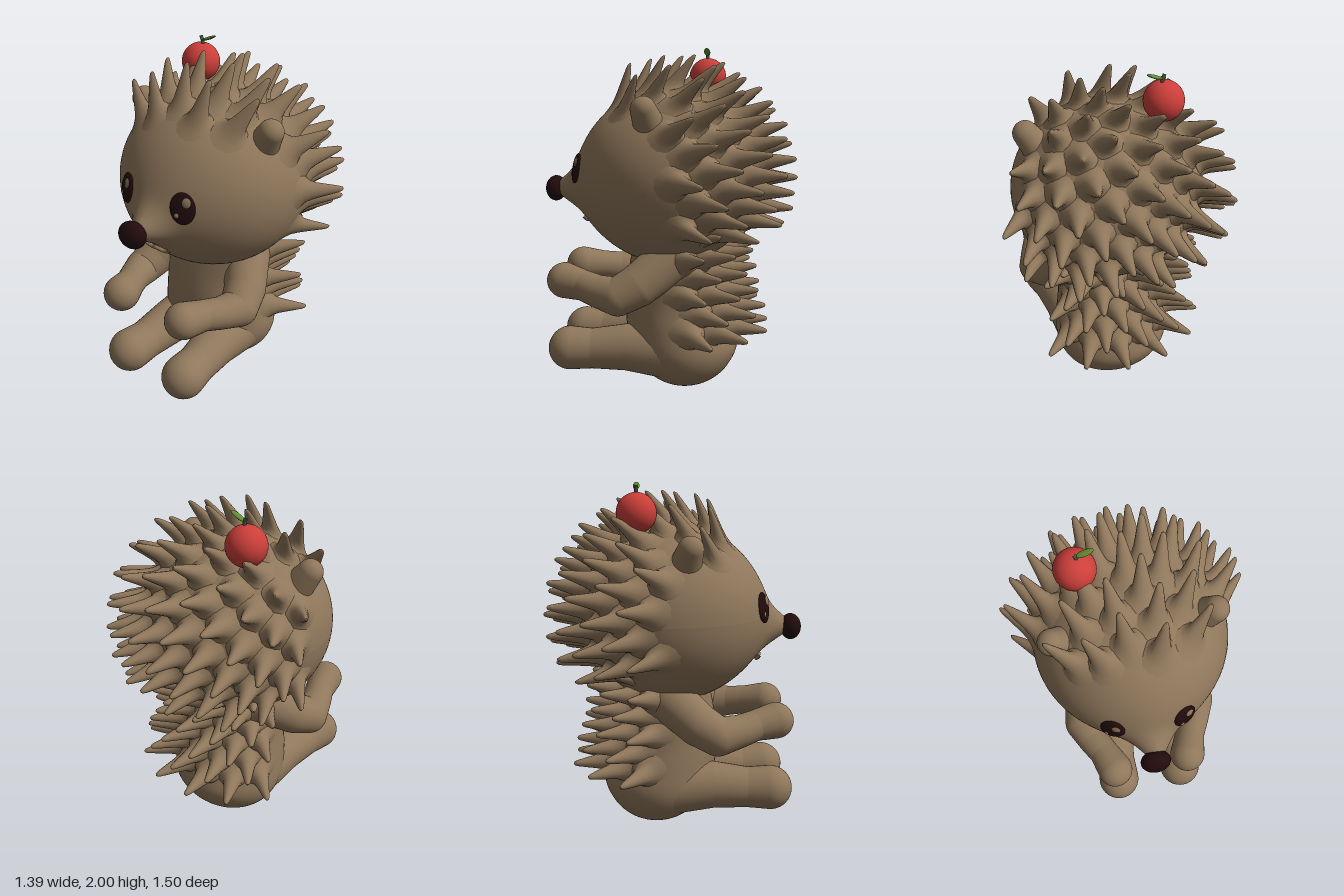
import * as THREE from 'three';

const V = (x, y, z) => new THREE.Vector3(x, y, z);
const UP = V(0, 1, 0);
const material = (name, color) => {
  const m = new THREE.MeshStandardMaterial({ color });
  m.name = name;
  return m;
};

// Head: centre, radii, and the deeper radius of its front half
const HC = V(0, 1.265, -0.02), HR = V(0.545, 0.515, 0.505), FRONT = 0.55;

// How far the snout pushes the face forward at a given x, y
function snoutPush(x, y) {
  const r2 = x * x + (y - 1.18) ** 2;
  return 0.12 * Math.exp(-r2 / 0.009) + 0.04 * Math.exp(-r2 / 0.05);
}
function faceZ(x, y) {
  const k = 1 - (x / HR.x) ** 2 - ((y - HC.y) / HR.y) ** 2;
  return HC.z + FRONT * Math.sqrt(Math.max(k, 0)) + snoutPush(x, y);
}
function faceNormal(x, y) {
  const e = 0.01;
  return V(faceZ(x - e, y) - faceZ(x + e, y), faceZ(x, y - e) - faceZ(x, y + e), 2 * e).normalize();
}

// Body sections: y, half width, half depth, centre z
const BODY = [
  [0, 0.005, 0.005, -0.1], [0.02, 0.13, 0.11, -0.1], [0.08, 0.25, 0.215, -0.1], [0.16, 0.32, 0.28, -0.1],
  [0.26, 0.35, 0.325, -0.09], [0.4, 0.335, 0.315, -0.06], [0.55, 0.31, 0.3, -0.04],
  [0.7, 0.305, 0.27, -0.03], [0.85, 0.33, 0.25, -0.04], [1.0, 0.3, 0.22, -0.05],
];
const widths = new THREE.CatmullRomCurve3(BODY.map(([y, rx, rz]) => V(rx, y, rz)));
const centres = new THREE.CatmullRomCurve3(BODY.map(([y, , , zc]) => V(0, y, zc)));

function bodyGeometry() {
  const geo = new THREE.CylinderGeometry(1, 1, 1, 48, 54, true);
  const p = geo.attributes.position;
  for (let i = 0; i < p.count; i++) {
    const t = 0.5 + p.getY(i);
    const w = widths.getPoint(t), c = centres.getPoint(t);
    p.setXYZ(i, p.getX(i) * w.x, Math.max(w.y, 0), c.z + p.getZ(i) * w.z);
  }
  geo.computeVertexNormals();
  return geo;
}

function headGeometry() {
  const geo = new THREE.SphereGeometry(1, 72, 72).rotateX(Math.PI / 2);
  const p = geo.attributes.position;
  for (let i = 0; i < p.count; i++) {
    const x = p.getX(i) * HR.x, y = p.getY(i) * HR.y + HC.y, q = p.getZ(i);
    const z = q > 0 ? q * FRONT + Math.min(1, q / 0.4) * snoutPush(x, y) : q * HR.z;
    p.setXYZ(i, x, y, z + HC.z);
  }
  geo.computeVertexNormals();
  return geo;
}

// Spine: flared foot, blunt tip
const spineGeo = new THREE.LatheGeometry(
  [[0.13, -0.03], [0.09, 0.002], [0.067, 0.03], [0.053, 0.07], [0.042, 0.12], [0.031, 0.175], [0.02, 0.225], [0.013, 0.245], [0, 0.253]]
    .map(([r, y]) => new THREE.Vector2(r, y)), 14);

// Foot stays flush with the surface while the shaft leans along dir
function leaningSpine(pos, normal, dir, size) {
  const n = normal.clone().normalize();
  const x = V(0, 0, 1).cross(n).add(V(0.001, 0, 0)).cross(n).normalize();
  const z = x.clone().cross(n);
  const m = new THREE.Matrix4().makeBasis(x, dir.clone().normalize(), z);
  m.scale(V(size, size, size)).setPosition(pos);
  return spineGeo.clone().applyMatrix4(m);
}

export function createModel() {
  const model = new THREE.Group();
  model.name = 'hedgehog';
  const fur = material('brown fur', 0x8f775b);
  const dark = material('dark eyes and nose', 0x220b0c);
  const red = material('apple red', 0xcc3f3a);
  const green = material('leaf green', 0x628f35);
  const stemGreen = material('stem green', 0x4a6136);

  const group = (name) => {
    const g = new THREE.Group();
    g.name = name;
    model.add(g);
    return g;
  };
  const add = (name, geo, mat, parent = model) => {
    const mesh = new THREE.Mesh(geo, mat);
    mesh.name = name;
    parent.add(mesh);
    return mesh;
  };
  const ball = (name, mat, pos, sx, sy = sx, sz = sx, parent = model) => {
    const mesh = add(name, new THREE.SphereGeometry(1, 32, 24), mat, parent);
    mesh.position.copy(pos);
    mesh.scale.set(sx, sy, sz);
    return mesh;
  };
  // Rounded limb through [x, y, z, radius] joints, with cones tangent to the balls
  const limb = (name, s, joints) => {
    const g = group(name);
    joints.forEach(([x, y, z, r], i) => {
      const a = V(s * x, y, z);
      ball('joint', fur, a, r, r, r, g);
      if (i === joints.length - 1) return;
      const [bx, by, bz, r2] = joints[i + 1];
      const b = V(s * bx, by, bz), axis = b.clone().sub(a), len = axis.length();
      axis.divideScalar(len);
      const sin = (r - r2) / len, cos = Math.sqrt(1 - sin * sin);
      const p = a.clone().addScaledVector(axis, r * sin), q = b.clone().addScaledVector(axis, r2 * sin);
      const cone = add('segment', new THREE.CylinderGeometry(r2 * cos, r * cos, p.distanceTo(q), 32, 1, true), fur, g);
      cone.position.copy(p).add(q).multiplyScalar(0.5);
      cone.quaternion.setFromUnitVectors(UP, axis);
    });
  };

  add('body', bodyGeometry(), fur);
  add('head', headGeometry(), fur);

  // Limbs and ears, mirrored
  for (const s of [1, -1]) {
    const side = s > 0 ? 'left' : 'right';
    limb(side + 'Arm', s, [
      [0.22, 0.82, -0.05, 0.135], [0.325, 0.68, 0.13, 0.122], [0.36, 0.62, 0.24, 0.11],
      [0.32, 0.635, 0.36, 0.093], [0.27, 0.655, 0.46, 0.088], [0.225, 0.67, 0.58, 0.104],
    ]);
    limb(side + 'Leg', s, [
      [0.16, 0.25, -0.08, 0.175], [0.18, 0.265, 0.22, 0.137], [0.195, 0.253, 0.43, 0.118], [0.205, 0.255, 0.562, 0.128],
    ]);
    limb(side + 'Ear', s, [[0.36, 1.55, 0.05, 0.09], [0.43, 1.66, 0.08, 0.07]]);
  }

  // Face, set a touch off centre
  const faceX = -0.012;
  ball('nose', dark, V(faceX, 1.18, 0.686), 0.083, 0.076, 0.06);
  for (const s of [1, -1]) {
    const eye = group(s > 0 ? 'leftEye' : 'rightEye');
    const x = faceX + s * 0.195, y = 1.32;
    eye.position.set(x, y, faceZ(x, y));
    eye.lookAt(eye.position.clone().add(faceNormal(x, y)));
    const oval = ball('pupil', dark, V(0, 0, 0), 0.068, 0.087, 0.02, eye);
    oval.rotation.z = s * 0.1;
    for (const [dx, dy, r, dz] of [[0.022, 0.036, 0.024, 0.016], [-0.028, -0.035, 0.013, 0.014]]) {
      ball('glint', fur, V(dx, dy, dz), r, r * 1.15, 0.008, eye);
    }
  }
  const smile = [[-0.09, 1.03], [-0.07, 1.008], [-0.04, 1.0], [0, 1.017], [0.04, 1.0], [0.07, 1.008], [0.09, 1.03]]
    .map(([x, y]) => V(x + faceX, y, faceZ(x, y) + 0.012));
  add('mouth', new THREE.TubeGeometry(new THREE.CatmullRomCurve3(smile), 40, 0.012, 10), fur);

  // Head spines spread evenly over the back and crown, clear of the ears
  const headSpines = group('headSpines');
  const count = 140;
  for (let i = 0; i < count; i++) {
    const h = 1 - (2 * (i + 0.5)) / count, r = Math.sqrt(1 - h * h), a = i * 2.399963;
    const q = V(r * Math.cos(a), h, r * Math.sin(a));
    const radii = V(HR.x, HR.y, q.z > 0 ? FRONT : HR.z);
    const pos = q.clone().multiply(radii).add(HC);
    const limit = Math.min(0.27, -0.05 + Math.max(0, pos.y - 1.35) * 1.05);
    const earGap = Math.hypot(Math.abs(pos.x) - 0.4, pos.y - 1.6, pos.z - 0.07);
    if (pos.z > limit || pos.y < 0.97 || earGap < 0.1) continue;
    const n = q.clone().divide(radii).normalize();
    const dir = V(n.x * 0.8, n.y * (n.y > 0 ? 0.8 : 0.35), n.z * 0.8 - 0.6);
    add('spine', leaningSpine(pos, n, dir, 0.9), fur, headSpines);
  }

  // Body spines in staggered rows down the back
  const bodySpines = group('bodySpines');
  for (let row = 0; row < 6; row++) {
    const t = (4.9 + row * 0.72) / 9;
    const w = widths.getPoint(t), c = centres.getPoint(t), n = row % 2 ? 5 : 6;
    for (let i = 0; i < n; i++) {
      const a = (i - (n - 1) / 2) * 0.5;
      const normal = V(Math.sin(a), 0, -Math.cos(a));
      const pos = V(normal.x * w.x, w.y, c.z + normal.z * w.z);
      const dir = V(normal.x * 0.85, (row - 0.5) * 0.06, normal.z * 0.8 - 0.35);
      add('spine', leaningSpine(pos, normal, dir, 0.9), fur, bodySpines);
    }
  }

  // Apple with stem and leaf
  const apple = group('apple');
  apple.position.set(-0.24, 1.84, -0.205);
  add('appleSkin', new THREE.SphereGeometry(0.11, 36, 24), red, apple);
  const stem = new THREE.CatmullRomCurve3([V(0.016, 0.1, 0), V(0.012, 0.125, 0), V(0.002, 0.15, 0)]);
  add('stem', new THREE.TubeGeometry(stem, 10, 0.01, 10), stemGreen, apple);
  const leaf = ball('leaf', green, V(0.058, 0.143, 0), 0.05, 0.009, 0.018, apple);
  leaf.rotation.z = 0.38;

  return model;
}
